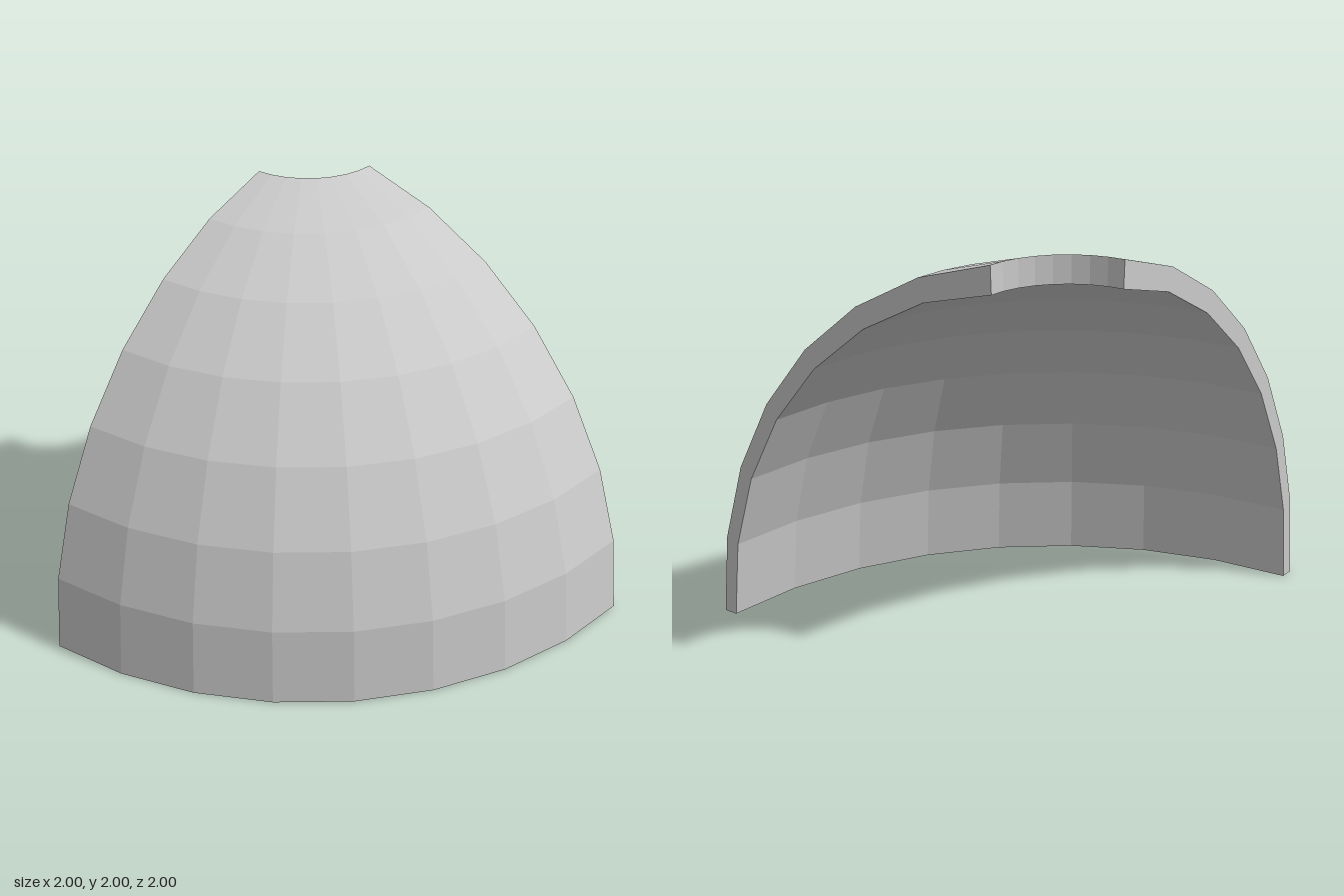
import * as THREE from 'three';

export function createModel() {
  const group = new THREE.Group();
  const material = new THREE.MeshStandardMaterial({ color: 0xcccccc, flatShading: true });
  const capMaterial = material.clone();
  capMaterial.side = THREE.DoubleSide;

  const STEPS = 8;                    // facets around the quarter turn
  const RINGS = 7;                    // rings from the base to the crown opening
  const STEP = Math.PI / 2 / 8;

  // Meridian of a faceted dome, from the base up to the opening
  const meridian = (radius, height) => Array.from({ length: RINGS + 1 }, (_, i) =>
    new THREE.Vector2(radius * Math.cos(i * STEP), height * Math.sin(i * STEP)));

  const outer = meridian(2, 2 / Math.sin(RINGS * STEP));
  const inner = meridian(1.93, 1.925);
  inner[RINGS].set(0.385, 1.875);     // near-vertical wall at the opening
  const section = [...outer, ...inner.reverse()];

  // Curved shell: outside, opening wall, inside and base rim
  const shell = new THREE.Mesh(
    new THREE.LatheGeometry([...section, section[0]], STEPS, 0, Math.PI / 2), material);
  shell.name = 'domeShell';
  group.add(shell);

  // Flat cut faces that close the two straight sides
  [['backCutFace', 0], ['sideCutFace', -Math.PI / 2]].forEach(([name, turn]) => {
    const cap = new THREE.Mesh(new THREE.ShapeGeometry(new THREE.Shape(section)), capMaterial);
    cap.rotation.y = turn;
    cap.name = name;
    group.add(cap);
  });

  // Move the dome axis to the corner so the quarter is centred
  group.children.forEach((part) => part.position.set(-1, 0, -1));
  group.name = 'quarterDome';
  return group;
}
